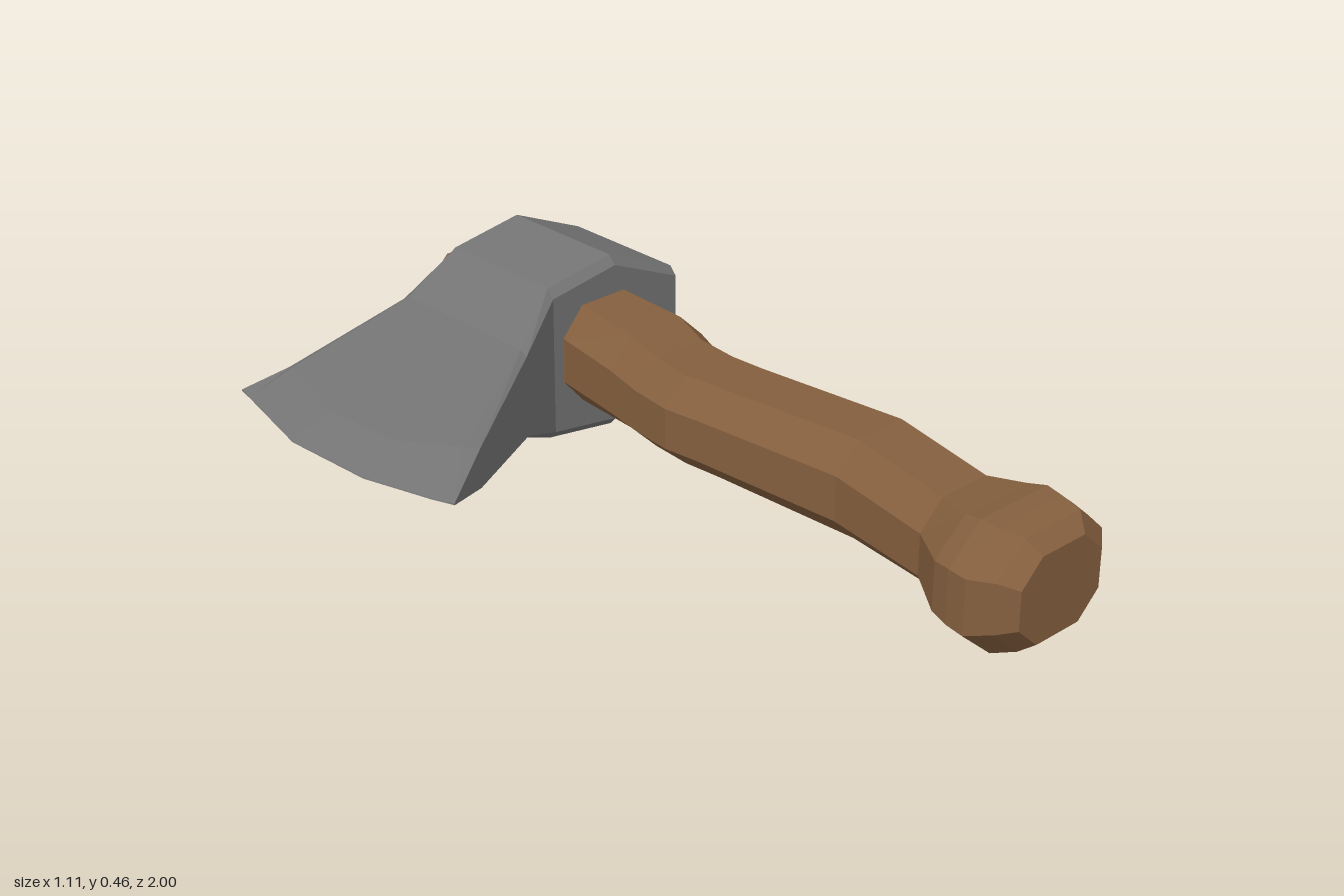
import * as THREE from 'three';

const wood = new THREE.MeshStandardMaterial({ color: 0x845f3e, flatShading: true });
wood.name = 'wood';
const steel = new THREE.MeshStandardMaterial({ color: 0x747474, flatShading: true });
steel.name = 'steel';

// Faceted skin over rings of equal length, closed at both ends.
// Rings run counter-clockwise seen from in front of the first one.
function loft(rings) {
  const pos = [];
  const tri = (...pts) => pts.forEach((p) => pos.push(...p));
  const n = rings[0].length;
  const middle = (ring) => [0, 1, 2].map((k) => ring.reduce((s, p) => s + p[k], 0) / n);
  const first = rings[0], last = rings[rings.length - 1];
  const c0 = middle(first), c1 = middle(last);
  for (let j = 0; j < n; j++) {
    const k = (j + 1) % n;
    for (let i = 0; i < rings.length - 1; i++) {
      const a = rings[i], b = rings[i + 1];
      tri(a[j], b[j], b[k]);
      tri(a[j], b[k], a[k]);
    }
    tri(c0, first[j], first[k]);
    tri(c1, last[k], last[j]);
  }
  const g = new THREE.BufferGeometry();
  g.setAttribute('position', new THREE.Float32BufferAttribute(pos, 3));
  g.computeVertexNormals();
  return g;
}

// Eight-sided handle: z, left x, right x, bottom y, top y of each section
function handleGeometry() {
  const sections = [
    [1.0, 0.07, 0.33, 0.125, 0.335],
    [0.96, 0.04, 0.38, 0.095, 0.365],
    [0.91, 0.0, 0.395, 0.08, 0.378],
    [0.86, 0.005, 0.41, 0.085, 0.378],
    [0.81, 0.02, 0.4, 0.095, 0.365],
    [0.7, 0.1, 0.375, 0.113, 0.34],
    [0.42, 0.14, 0.415, 0.11, 0.358],
    [0.02, 0.11, 0.385, 0.12, 0.35],
    [-0.08, 0.1, 0.385, 0.12, 0.348],
    [-0.2, 0.12, 0.4, 0.113, 0.345],
    [-0.31, 0.14, 0.44, 0.11, 0.357],
    [-0.5, 0.165, 0.425, 0.11, 0.367],
    [-0.89, 0.165, 0.405, 0.105, 0.355],
    [-0.96, 0.13, 0.425, 0.095, 0.357],
    [-0.99, 0.13, 0.43, 0.097, 0.357],
    [-1.0, 0.145, 0.37, 0.115, 0.34],
  ];
  const octagon = [[1, -0.45], [1, 0.45], [0.52, 1], [-0.52, 1],
    [-1, 0.45], [-1, -0.45], [-0.52, -1], [0.52, -1]];
  return loft(sections.map(([z, x0, x1, y0, y1]) => octagon.map(([u, v]) => [
    (x0 + x1) / 2 + (u * (x1 - x0)) / 2,
    (y0 + y1) / 2 + (v * (y1 - y0)) / 2,
    z,
  ])));
}

// Head: each ring mirrors six stations [x, z, half thickness] above and below
function headGeometry() {
  const mid = 0.232;
  const ring = (stations) => {
    const side = (s) => stations.map(([x, z, h]) => [x, mid + s * h, z]);
    return [...side(1), ...side(-1).reverse()];
  };
  // Straight section with chamfered rims
  const block = (x, z0, z1, h, bevel = 0.022) => {
    const at = (t) => z0 + (z1 - z0) * t;
    return [[x, z0, h - bevel], [x, z0 + 0.02, h], [x, at(0.36), h],
      [x, at(0.68), h], [x, z1 - 0.02, h], [x, z1, h - bevel]];
  };
  const bulge = [[-0.38, -0.872, 0.042], [-0.39, -0.85, 0.05], [-0.45, -0.62, 0.042],
    [-0.44, -0.4, 0.044], [-0.36, -0.25, 0.055], [-0.33, -0.225, 0.05]];
  const edge = [[-0.49, -0.918, 0.002], [-0.5, -0.87, 0.002], [-0.56, -0.62, 0.002],
    [-0.55, -0.37, 0.002], [-0.5, -0.19, 0.002], [-0.48, -0.135, 0.002]];
  return loft([
    block(0.553, -0.87, -0.525, 0.125, 0.01),
    block(0.54, -0.89, -0.505, 0.14),
    block(0.335, -0.89, -0.505, 0.23),
    block(0.135, -0.89, -0.505, 0.2),
    block(-0.02, -0.885, -0.425, 0.116, 0.012),
    bulge,
    edge,
  ].map(ring));
}

export function createModel() {
  const group = new THREE.Group();
  group.name = 'axe';
  const add = (name, geometry, material) => {
    const mesh = new THREE.Mesh(geometry, material);
    mesh.name = name;
    group.add(mesh);
  };
  add('handle', handleGeometry(), wood);
  add('axeHead', headGeometry(), steel);
  return group;
}
